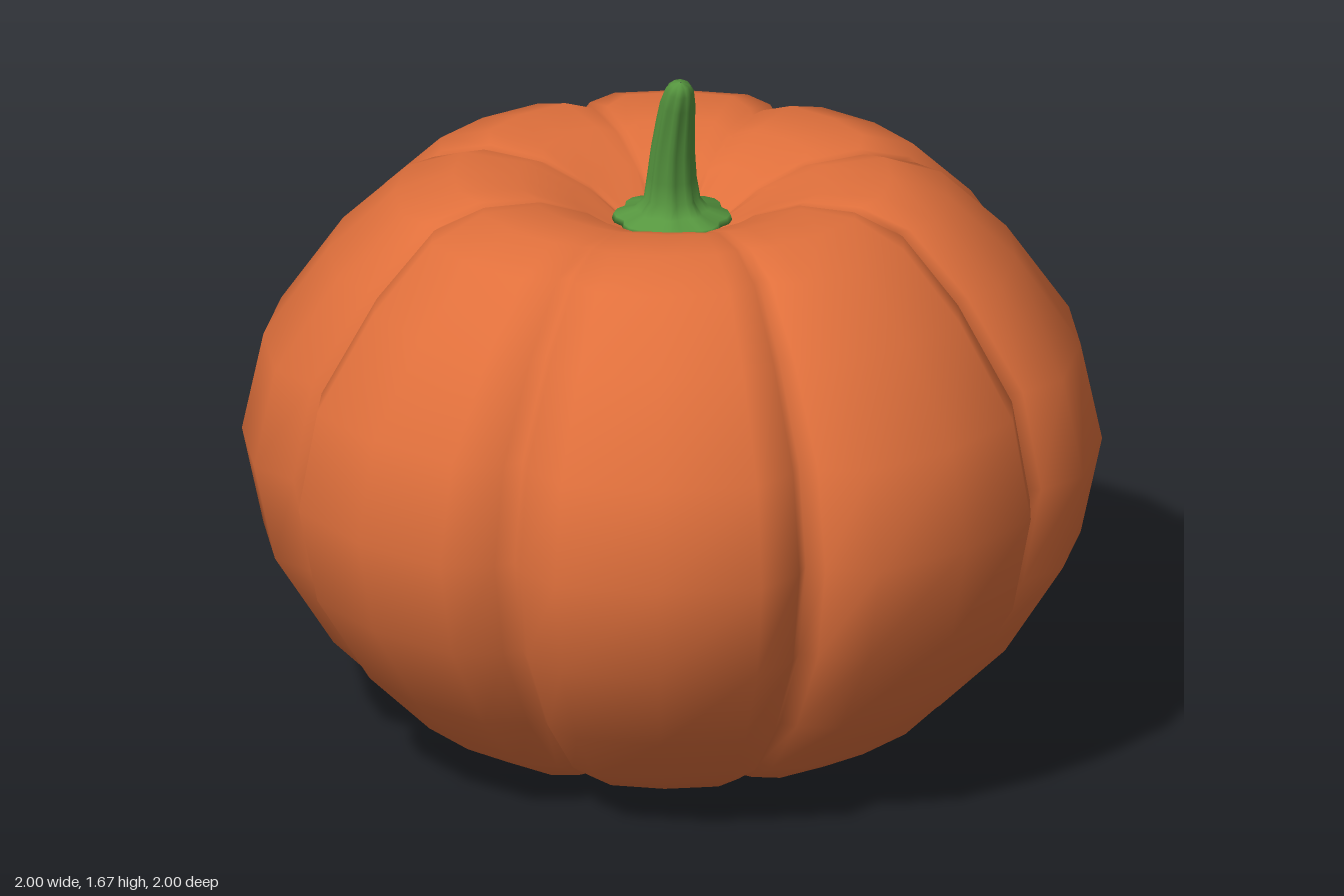
import * as THREE from 'three';

const LOBES = 8;

// Skin closed rings of points, listed from bottom to top, into a smooth surface
function loft(rings) {
  const n = rings[0].length, pos = [], index = [];
  rings.forEach(ring => ring.forEach(p => pos.push(...p)));
  for (let i = 0; i < rings.length - 1; i++) {
    for (let j = 0; j < n; j++) {
      const k = (j + 1) % n;
      const a = i * n + j, b = i * n + k, c = a + n, d = b + n;
      index.push(a, c, b, b, c, d);
    }
  }
  const geo = new THREE.BufferGeometry();
  geo.setAttribute('position', new THREE.Float32BufferAttribute(pos, 3));
  geo.setIndex(index);
  geo.computeVertexNormals();
  return geo;
}

function makeMesh(name, geometry, color) {
  const mesh = new THREE.Mesh(geometry, new THREE.MeshStandardMaterial({ color }));
  mesh.name = name;
  return mesh;
}

// Ribbed body: a profile swept round, pinched in at the groove between lobes
function bodyGeometry() {
  const profile = [ // [radius, height]
    [0.004, 0.05], [0.12, 0.045], [0.25, 0.035], [0.4, 0.033], [0.52, 0.045],
    [0.65, 0.115], [0.81, 0.275], [0.95, 0.5], [1.0, 0.74], [0.95, 0.98],
    [0.8, 1.2], [0.645, 1.35], [0.51, 1.4], [0.36, 1.392], [0.23, 1.345],
    [0.13, 1.28], [0.004, 1.25],
  ];
  const lobe = [ // [degrees from the groove, radius factor]
    [0, 0.9], [2, 0.945], [8.5, 1.011], [22.5, 1.018], [36.5, 1.011], [43, 0.945],
  ];
  const rings = profile.map(([r, y]) => {
    const ring = [];
    for (let l = 0; l < LOBES; l++) {
      for (const [deg, f] of lobe) {
        const a = THREE.MathUtils.degToRad(l * 45 + deg);
        // grooves also sink a little across the top
        const sink = y > 1.26 && r < 0.6 ? (1.018 - f) * 0.16 : 0;
        // small sag under the front groove
        const sag = r === 0.25 && y < 0.1 && l === 2 && deg === 0 ? 0.027 : 0;
        ring.push([r * f * Math.cos(a), y - sink - sag, r * f * Math.sin(a)]);
      }
    }
    return ring;
  });
  return loft(rings);
}

// Stalk: scalloped rings along a leaning path, flaring into a collar
function stemGeometry() {
  const stations = [ // [x, y, z, radius, tilt, groove depth]
    [0, 1.265, 0, 0.004, 0, 0],
    [0, 1.268, 0, 0.1, 0, 0.1],
    [0, 1.285, 0, 0.143, 0, 0.12],
    [0, 1.3, 0, 0.138, 0, 0.12],
    [0, 1.315, 0, 0.09, 0, 0.14],
    [0.002, 1.345, 0.004, 0.067, 0, 0.16],
    [0.005, 1.4, 0.012, 0.059, 0.05, 0.16],
    [0.015, 1.48, 0.028, 0.052, 0.15, 0.16],
    [0.03, 1.56, 0.045, 0.046, 0.25, 0.16],
    [0.042, 1.61, 0.06, 0.042, 0.3, 0.14],
    [0.053, 1.65, 0.073, 0.034, 0.3, 0.1],
    [0.058, 1.668, 0.08, 0.022, 0.2, 0.05],
    [0.06, 1.675, 0.083, 0.002, 0, 0],
  ];
  const sides = LOBES * 4;
  const rings = stations.map(([x, y, z, r, tilt, depth]) =>
    Array.from({ length: sides }, (_, j) => {
      const a = (j / sides) * Math.PI * 2;
      const rr = r * (1 - depth * (1 - Math.abs(Math.sin(a * LOBES / 2))));
      const dx = rr * Math.cos(a), dz = rr * Math.sin(a);
      return [x + dx, y - tilt * (0.6 * dx + 0.8 * dz), z + dz];
    }));
  return loft(rings);
}

export function createModel() {
  const group = new THREE.Group();
  group.name = 'pumpkin';
  group.add(makeMesh('body', bodyGeometry(), 0xe0703c));
  group.add(makeMesh('stem', stemGeometry(), 0x56963f));
  return group;
}
